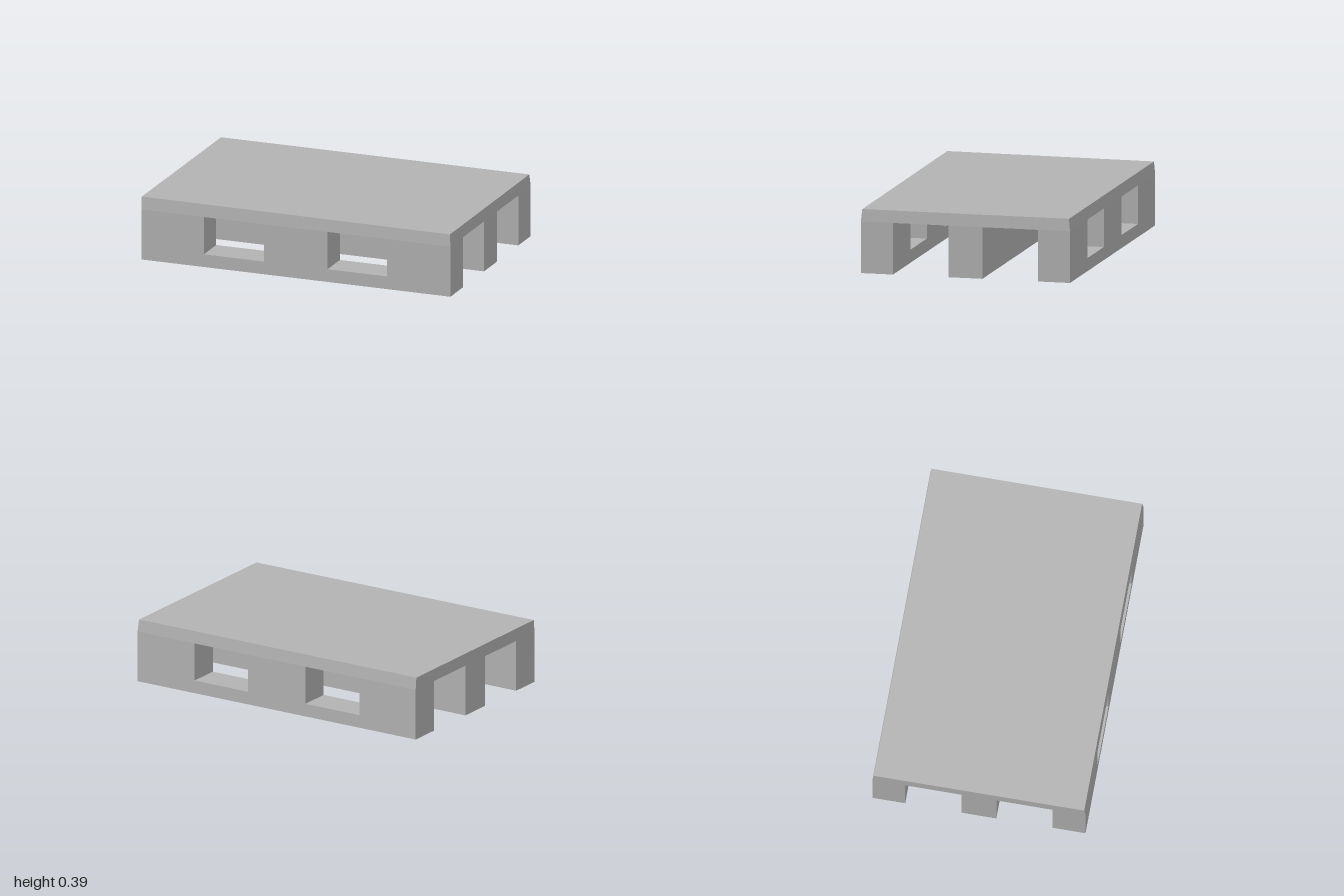
import * as THREE from 'three';

const WIDTH = 2, HALF_DEPTH = 0.65, DECK_Y = 0.315, TOP_Y = 0.39, SILL_Y = 0.08;
const windows = [[-0.595, -0.207], [0.205, 0.59]];

export function createModel() {
  const group = new THREE.Group();
  const grey = new THREE.MeshStandardMaterial({ color: 0xb2b2b2 });
  grey.name = 'palletGrey';

  const add = (name, geometry, x, y, z) => {
    const mesh = new THREE.Mesh(geometry, grey);
    mesh.name = name;
    mesh.position.set(x, y, z);
    group.add(mesh);
  };

  // Deck slab, its upper edges drawn in slightly
  const deckHeight = TOP_Y - DECK_Y;
  const deck = new THREE.BoxGeometry(WIDTH, deckHeight, HALF_DEPTH * 2);
  const p = deck.attributes.position;
  for (let i = 0; i < p.count; i++) {
    if (p.getY(i) < 0) continue;
    p.setZ(i, p.getZ(i) * 0.988);
    if (p.getX(i) > 0) p.setX(i, 0.994);
    else if (p.getZ(i) > 0) p.setY(i, p.getY(i) + 0.004);
  }
  deck.computeVertexNormals();
  add('deck', deck, 0, DECK_Y + deckHeight / 2, 0);

  // Outer runners, notched from the deck down to make the fork windows
  const outline = new THREE.Shape();
  outline.moveTo(-1, 0).lineTo(1, 0).lineTo(1, DECK_Y);
  for (const [x0, x1] of [...windows].reverse()) {
    outline.lineTo(x1, DECK_Y).lineTo(x1, SILL_Y).lineTo(x0, SILL_Y).lineTo(x0, DECK_Y);
  }
  outline.lineTo(-1, DECK_Y).closePath();
  const runner = new THREE.ExtrudeGeometry(outline, { depth: 0.2, bevelEnabled: false });
  add('frontRunner', runner, 0, 0, HALF_DEPTH - 0.2);
  add('backRunner', runner, 0, 0, -HALF_DEPTH);

  // Solid middle runner
  add('middleRunner', new THREE.BoxGeometry(WIDTH, DECK_Y, 0.212), 0, DECK_Y / 2, 0);

  return group;
}
